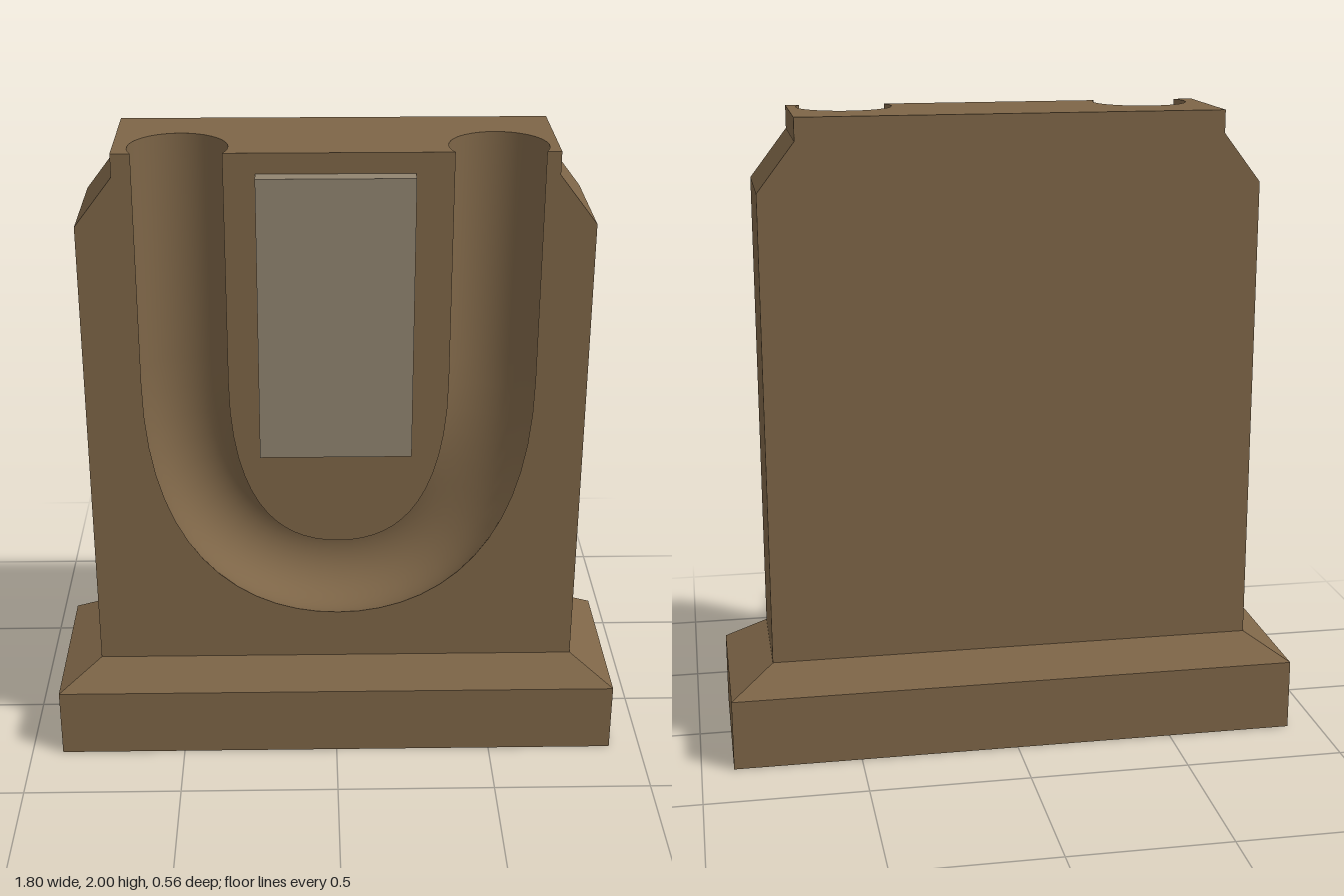
import * as THREE from 'three';

const stone = new THREE.MeshStandardMaterial({ color: 0x7d6547 });
stone.name = 'brown stone';
const plaque = new THREE.MeshStandardMaterial({ color: 0x918470 });
plaque.name = 'grey plaque';

const HALF_DEPTH = 0.19, TOP = 2;

// Surface through rows of [x, y, z] points; smooth or faceted
function grid(rows, smooth) {
  const n = rows[0].length, index = [];
  for (let i = 0; i < rows.length - 1; i++) {
    for (let j = 0; j < n - 1; j++) {
      const a = i * n + j, b = a + 1, d = a + n, c = d + 1;
      index.push(a, d, b, b, d, c);
    }
  }
  let g = new THREE.BufferGeometry();
  g.setAttribute('position', new THREE.Float32BufferAttribute(rows.flat(2), 3));
  g.setIndex(index);
  if (!smooth) g = g.toNonIndexed();
  g.computeVertexNormals();
  return g;
}

// Flat face from [x, y] points
function face(points) {
  return new THREE.ShapeGeometry(new THREE.Shape(points.map(p => new THREE.Vector2(p[0], p[1]))));
}

// Rows of the U-shaped channel: a round section swept along a U path
function channelRows() {
  const cx = 0.0075, w = 0.4675, r = 0.147, cz = 0.125;
  const bend = new THREE.CubicBezierCurve(
    new THREE.Vector2(-w, 1.28), new THREE.Vector2(-w, 0.78),
    new THREE.Vector2(-0.25, 0.603), new THREE.Vector2(0, 0.603));
  const left = [{ p: new THREE.Vector2(-w, TOP), t: new THREE.Vector2(0, -1) }];
  for (let i = 0; i <= 14; i++) left.push({ p: bend.getPoint(i / 14), t: bend.getTangent(i / 14) });
  const right = left.slice(0, -1).reverse().map(({ p, t }) => ({
    p: new THREE.Vector2(-p.x, p.y), t: new THREE.Vector2(t.x, -t.y) }));
  const limit = Math.acos((cz - HALF_DEPTH) / r), steps = 24;
  return [...left, ...right].map(({ p, t }) => {
    const row = [];
    for (let j = 0; j <= steps; j++) {
      const a = limit * (2 * j / steps - 1), u = r * Math.sin(a);
      row.push([cx + p.x - t.y * u, p.y + t.x * u, cz - r * Math.cos(a)]);
    }
    return row;
  });
}

export function createModel() {
  const model = new THREE.Group();
  const add = (name, geometry, material = stone) => {
    const mesh = new THREE.Mesh(geometry, material);
    mesh.name = name;
    model.add(mesh);
    return mesh;
  };

  // Plinth with sloped shoulder
  const corners = [[1, 1], [-1, 1], [-1, -1], [1, -1], [1, 1]];
  const sections = [[0, 0.9, 0.28], [0.225, 0.9, 0.28], [0.31, 0.765, HALF_DEPTH]];
  add('plinth', grid(sections.map(([y, x, z]) => corners.map(([sx, sz]) => [sx * x, y, sz * z]))));
  add('plinthUnderside', new THREE.PlaneGeometry(1.8, 0.56).rotateX(Math.PI / 2));

  // Slab outline: right edge going up, left edge going down
  const rightEdge = [[0.765, 0.31], [0.765, 1.78], [0.65, 1.93], [0.65, TOP]];
  const leftEdge = rightEdge.map(([x, y]) => [-x, y]).reverse();
  for (const [name, edge] of [['leftSide', rightEdge], ['rightSide', leftEdge]]) {
    add(name, grid(edge.map(([x, y]) => [-HALF_DEPTH, HALF_DEPTH].map(z => [x, y, z]))));
  }
  add('backFace', face([...rightEdge, ...leftEdge]).rotateY(Math.PI).translate(0, 0, -HALF_DEPTH));

  // Channel and the front faces on either side of it
  const rows = channelRows();
  const outer = rows.map(r => r[0]), inner = rows.map(r => r[r.length - 1]);
  add('channel', grid(rows, true));
  add('frontSurround', face([...rightEdge, ...outer.slice().reverse(), ...leftEdge])
    .translate(0, 0, HALF_DEPTH));
  add('frontTongue', face(inner).translate(0, 0, HALF_DEPTH));

  // Top face, notched where the channel runs out
  const notch = row => row.map(([x, , z]) => [x, -z]);
  add('topFace', face([
    [-0.65, HALF_DEPTH], [-0.65, -HALF_DEPTH],
    ...notch(rows[0]), ...notch(rows[rows.length - 1]).reverse(),
    [0.65, -HALF_DEPTH], [0.65, HALF_DEPTH],
  ]).rotateX(-Math.PI / 2).translate(0, TOP, 0));

  // Raised plaque
  add('plaque', new THREE.BoxGeometry(0.465, 0.885, 0.05), plaque)
    .position.set(-0.002, 1.495, HALF_DEPTH + 0.025);

  return model;
}
